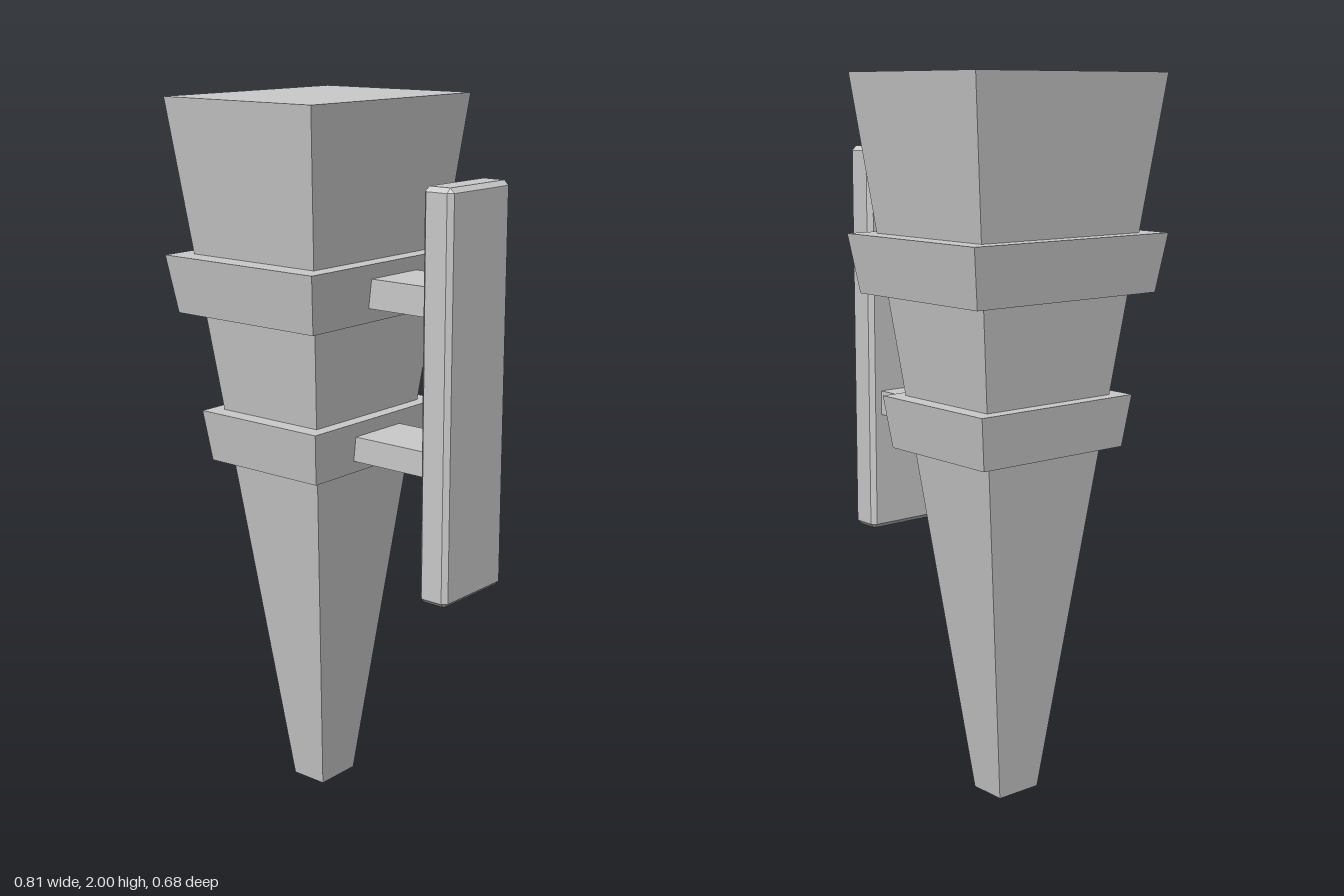
import * as THREE from 'three';

const material = new THREE.MeshStandardMaterial({ color: 0xcccccc, flatShading: true, side: THREE.DoubleSide });
const AXIS_X = -0.14; // centre line of the torch

// Rectangle with optional corner cut c, as eight points
const outline = ([y, hx, hz, c = 0]) => [
  [hx, hz - c], [hx - c, hz], [-hx + c, hz], [-hx, hz - c],
  [-hx, -hz + c], [-hx + c, -hz], [hx - c, -hz], [hx, -hz + c],
].map(([x, z]) => new THREE.Vector3(x, y, z));

// Skin between rectangular sections [y, halfX, halfZ, cut], listed bottom to top
function loft(sections) {
  const rows = sections.map(outline);
  const pos = [];
  const tri = (a, b, c) => {
    if (new THREE.Triangle(a, b, c).getArea() < 1e-7) return;
    for (const p of [a, b, c]) pos.push(p.x, p.y, p.z);
  };
  for (let r = 0; r + 1 < rows.length; r++) {
    for (let i = 0; i < 8; i++) {
      const j = (i + 1) % 8;
      const a = rows[r][i], b = rows[r][j], c = rows[r + 1][j], d = rows[r + 1][i];
      tri(a, c, b);
      tri(a, d, c);
    }
  }
  const geometry = new THREE.BufferGeometry();
  geometry.setAttribute('position', new THREE.Float32BufferAttribute(pos, 3));
  geometry.computeVertexNormals();
  return geometry;
}

export function createModel() {
  const model = new THREE.Group();
  model.name = 'wallTorch';
  const add = (name, geometry, x, y = 0, z = 0) => {
    const mesh = new THREE.Mesh(geometry, material);
    mesh.name = name;
    mesh.position.set(x, y, z);
    model.add(mesh);
  };
  const box = (name, x0, x1, y0, y1, z0, z1) =>
    add(name, new THREE.BoxGeometry(x1 - x0, y1 - y0, z1 - z0), (x0 + x1) / 2, (y0 + y1) / 2, (z0 + z1) / 2);

  // Tapered body, closed at the top and open at the foot
  const bodyX = (y) => 0.055 + 0.1025 * y;
  const bodyZ = (y) => 0.07 + 0.13 * y;
  add('torchBody', loft([[0, 0.055, 0.07], [2, 0.26, 0.33], [2, 0, 0]]), AXIS_X);

  // Flared collars, open below, each with small spacers and an arm to the wall plate
  const collars = [
    { name: 'upper', y0: 1.42, y1: 1.58, bottom: [0.245, 0.312], top: [0.265, 0.338], arm: [1.46, 1.54] },
    { name: 'lower', y0: 0.995, y1: 1.14, bottom: [0.194, 0.247], top: [0.21, 0.267], arm: [1.03, 1.1] },
  ];
  for (const { name, y0, y1, bottom, top, arm } of collars) {
    add(`${name}Collar`, loft([[y0, ...bottom], [y1, ...top], [y1, bodyX(y1), bodyZ(y1)]]), AXIS_X);
    const [hx, hz] = bottom;
    const ix = bodyX(y0) - 0.01, iz = bodyZ(y0) - 0.01;
    for (const s of [-1, 1]) {
      const y = y0 + 0.01, h = 0.04;
      add(`${name}CollarSpacer`, new THREE.BoxGeometry(hx - ix, h, 0.1), AXIS_X + s * (hx + ix) / 2, y + h / 2);
      add(`${name}CollarSpacer`, new THREE.BoxGeometry(0.1, h, hz - iz), AXIS_X, y + h / 2, s * (hz + iz) / 2);
    }
    box(`${name}Arm`, AXIS_X + hx, 0.315, arm[0], arm[1], -0.095, 0.095);
  }

  // Wall plate with chamfered edges, open at the foot
  const hx = 0.046, hz = 0.129, c = 0.013;
  add('wallPlate', loft([
    [0.69, hx - c, hz - c], [0.69 + c, hx, hz, c],
    [1.8 - c, hx, hz, c], [1.8, hx - c, hz - c], [1.8, 0, 0],
  ]), 0.356);

  return model;
}
